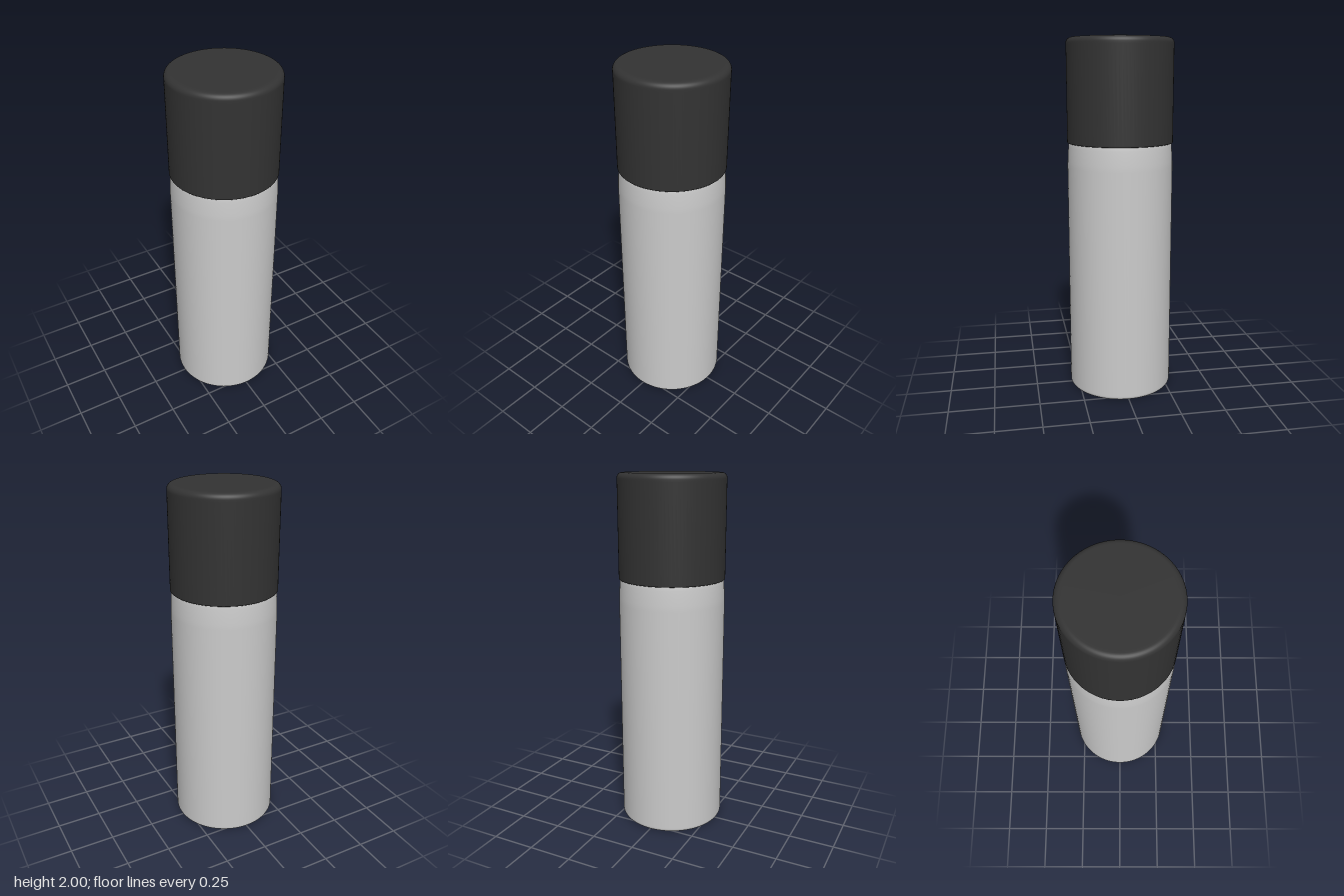
import * as THREE from 'three';

const R = 0.296;

// Points of a rounded corner, centre (cx, cy), swept from angle a to b in degrees
function corner(cx, cy, r, a, b, steps = 8) {
  const pts = [];
  for (let i = 0; i <= steps; i++) {
    const t = THREE.MathUtils.degToRad(a + ((b - a) * i) / steps);
    pts.push([cx + r * Math.cos(t), cy + r * Math.sin(t)]);
  }
  return pts;
}

function turned(name, profile, color) {
  const points = profile.map(([x, y]) => new THREE.Vector2(Math.max(x, 0), y));
  const mesh = new THREE.Mesh(
    new THREE.LatheGeometry(points, 96),
    new THREE.MeshStandardMaterial({ color })
  );
  mesh.name = name;
  return mesh;
}

export function createModel() {
  const group = new THREE.Group();
  group.name = 'cappedBottle';

  // Bottle: flat base, rounded foot, straight wall, shoulder easing in under the cap
  group.add(turned('bottleBody', [
    [0, 0], [R - 0.03, 0],
    ...corner(R - 0.02, 0.02, 0.02, -90, 0),
    [R, 0.03], [R, 1.3], [R - 0.001, 1.33], [R - 0.003, 1.37],
    [R - 0.006, 1.41], [R - 0.009, 1.44], [R - 0.02, 1.47], [0, 1.47],
  ], 0xcccccc));

  // Cap: crisp lower lip, straight wall, softly rounded top edge
  group.add(turned('cap', [
    [0, 1.43], [R - 0.006, 1.43],
    ...corner(R - 0.004, 1.434, 0.004, -90, 0, 3),
    [R, 1.44], [R, 1.96],
    ...corner(R - 0.03, 1.97, 0.03, 0, 90),
    [R - 0.04, 2], [0, 2],
  ], 0x333333));

  return group;
}
